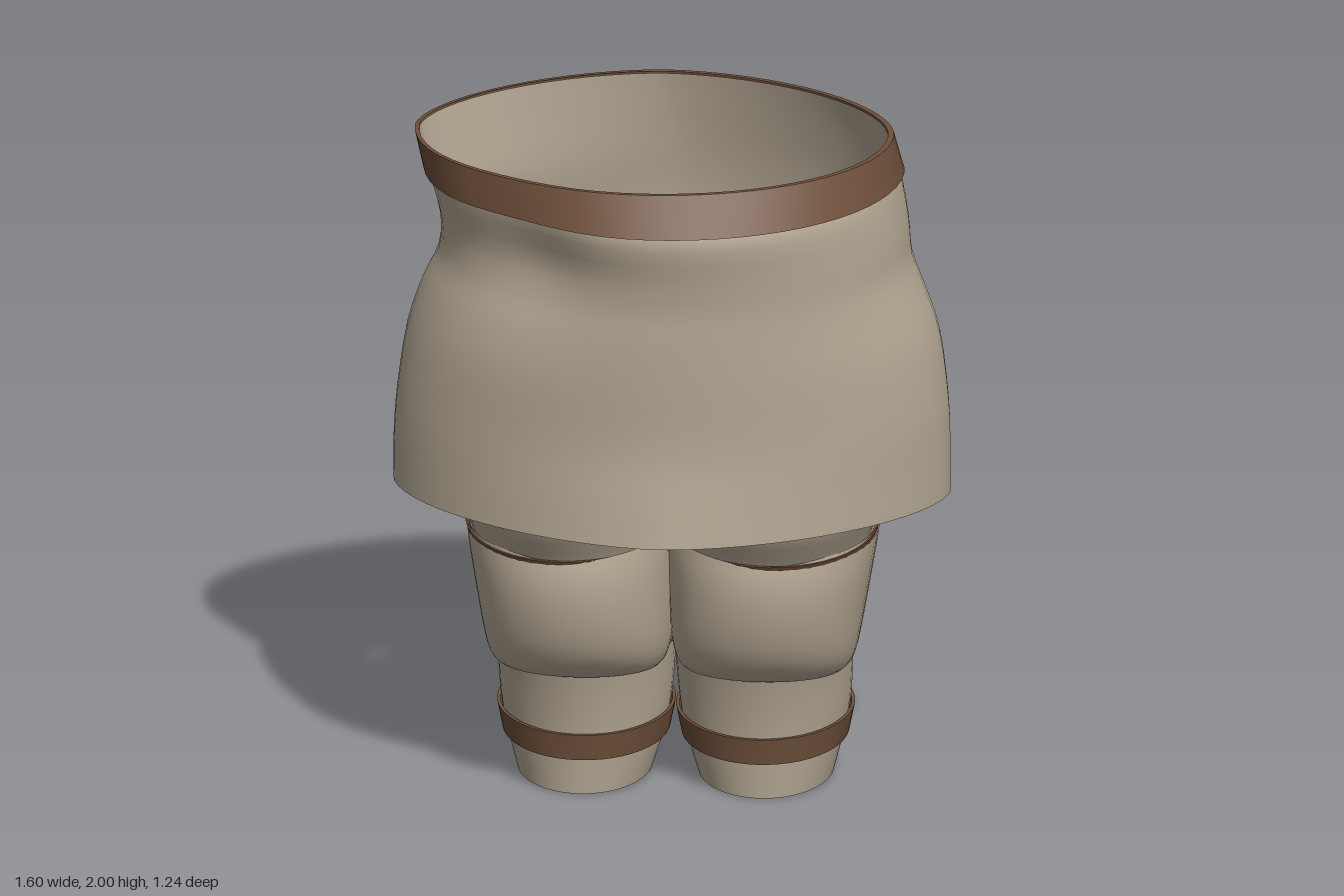
import * as THREE from 'three';
import { mergeGeometries } from 'three/addons/utils/BufferGeometryUtils.js';

const cloth = new THREE.MeshStandardMaterial({ color: 0xb8ab97, side: THREE.DoubleSide });
cloth.name = 'beige cloth';
const leather = new THREE.MeshStandardMaterial({ color: 0x6e4f3a, side: THREE.DoubleSide });
leather.name = 'brown leather';

// Smooth skin over rings; point(row, angle) returns [x, y, z]
function loft(rows, point, seg = 48, arc = Math.PI * 2) {
  const closed = arc > 6;
  const n = closed ? seg : seg + 1;
  const pos = [], idx = [];
  for (const row of rows)
    for (let i = 0; i < n; i++) pos.push(...point(row, (i / seg) * arc));
  for (let r = 0; r < rows.length - 1; r++)
    for (let i = 0; i < seg; i++) {
      const j = (i + 1) % n;
      const a = r * n + i, b = r * n + j, c = a + n, d = b + n;
      idx.push(a, c, b, b, c, d);
    }
  const g = new THREE.BufferGeometry();
  g.setAttribute('position', new THREE.Float32BufferAttribute(pos, 3));
  g.setIndex(idx);
  g.computeVertexNormals();
  return g;
}

// Strap with crisp edges: each face between neighbouring rings is its own skin
function strap(rings, point, seg) {
  return mergeGeometries(rings.slice(1).map((r, i) => loft([rings[i], r], point, seg)));
}

// Catmull-Rom blend of a table whose first column is y
function refine(table, steps) {
  const out = [];
  const at = (i) => table[Math.max(0, Math.min(table.length - 1, i))];
  for (let i = 0; i < table.length - 1; i++)
    for (let k = 0; k < steps; k++) {
      const t = k / steps;
      out.push(at(i).map((p, c) => {
        const a = at(i - 1)[c], q = at(i + 1)[c], d = at(i + 2)[c];
        return 0.5 * (2 * p + (q - a) * t + (2 * a - 5 * p + 4 * q - d) * t * t
          + (3 * p - a - 3 * q + d) * t * t * t);
      }));
    }
  out.push(table[table.length - 1]);
  return out;
}

// Linear lookup of a table row at height y
function sample(table, y) {
  let i = 0;
  while (i < table.length - 2 && table[i + 1][0] < y) i++;
  const t = (y - table[i][0]) / (table[i + 1][0] - table[i][0]);
  return table[i].map((v, c) => v + (table[i + 1][c] - v) * t);
}

// Skirt ring: [y, right x, left x, back z, front z, front corner pinch, dent]
// The back is pinched too, more on the model's right
function skirtPoint([y, x0, x1, zb, zf, e, dent], a) {
  const c = Math.cos(a), s = Math.sin(a);
  const p = s > 0 ? e : c < 0 ? 1.2 : 1.1;
  const pull = 1 - dent * Math.exp(-(((a - 2.2) / 0.36) ** 2));
  const x = (x0 + x1) / 2 + ((x1 - x0) / 2) * Math.sign(c) * Math.abs(c) ** p * pull;
  const z = (s > 0 ? zf : -zb) * Math.sign(s) * Math.abs(s) ** p * pull;
  return [x, y, z];
}

const skirtRows = [
  [0.92, -0.80, 0.80, -0.60, 0.55, 1.22, 0],
  [1.05, -0.80, 0.80, -0.61, 0.54, 1.17, 0],
  [1.2, -0.79, 0.795, -0.62, 0.53, 1.1, 0],
  [1.4, -0.76, 0.77, -0.605, 0.545, 1.07, 0],
  [1.54, -0.715, 0.725, -0.585, 0.555, 1.04, 0.03],
  [1.64, -0.67, 0.69, -0.57, 0.56, 1, 0.07],
  [1.75, -0.665, 0.68, -0.545, 0.58, 1, 0.1],
  [1.89, -0.70, 0.655, -0.51, 0.61, 1, 0.08],
  [1.995, -0.725, 0.62, -0.485, 0.53, 1, 0.03],
];

// Belt rings: inner bottom, outer bottom, outer top, inner top
const beltRings = [
  [1.89, -0.703, 0.658, -0.513, 0.613, 1, 0.075],
  [1.89, -0.713, 0.668, -0.525, 0.62, 1, 0.06],
  [2.0, -0.738, 0.638, -0.502, 0.545, 1, 0.025],
  [2.0, -0.726, 0.621, -0.486, 0.531, 1, 0.03],
];

// Leg ring: [y, centre x, half width, back z, front z, outward slant]; tipped up at the back
const legRows = refine([
  [0, 0.26, 0.195, -0.37, 0.09, 0],
  [0.12, 0.257, 0.228, -0.405, 0.105, 0],
  [0.22, 0.257, 0.246, -0.425, 0.12, 0],
  [0.35, 0.258, 0.255, -0.435, 0.15, 0.02],
  [0.48, 0.26, 0.262, -0.415, 0.19, 0.04],
  [0.62, 0.265, 0.278, -0.395, 0.24, 0.06],
  [0.78, 0.27, 0.305, -0.405, 0.3, 0.08],
  [0.92, 0.27, 0.34, -0.415, 0.385, 0.1],
  [1.02, 0.27, 0.355, -0.42, 0.41, 0.11],
], 3);

function legPoint(side) {
  return ([y, cx, rx, zb, zf, slant], a) => {
    const z = (zf + zb) / 2 + ((zf - zb) / 2) * Math.sin(a);
    return [side * (cx + slant * z) + rx * Math.cos(a), y + 0.065 * (0.09 - z), z];
  };
}

// Knee pad ring: [y, centre x, half width, back z, front z, dip of the edge]
const padRows = [
  [0.368, 0.262, 0.19, -0.02, 0.12, 0],
  [0.385, 0.264, 0.235, -0.025, 0.17, 0],
  [0.42, 0.267, 0.258, -0.03, 0.22, 0],
  [0.48, 0.269, 0.271, -0.035, 0.27, 0],
  [0.57, 0.274, 0.282, -0.05, 0.308, 0],
  [0.67, 0.28, 0.293, -0.065, 0.33, 0],
  [0.75, 0.283, 0.303, -0.075, 0.332, 0.006],
  [0.815, 0.285, 0.309, -0.085, 0.325, 0.022],
];

function padPoint(side) {
  return ([y, cx, rx, zb, zf, dip], a) => {
    const s = Math.max(0, Math.sin(a));
    return [side * cx + rx * Math.cos(a), y - dip * s ** 6, zb + (zf - zb) * s ** 0.75];
  };
}

export function createModel() {
  const model = new THREE.Group();
  const add = (parent, name, geo, mat) => {
    const m = new THREE.Mesh(geo, mat);
    m.name = name;
    parent.add(m);
  };

  add(model, 'skirt', loft(refine(skirtRows, 3), skirtPoint, 64), cloth);
  add(model, 'belt', strap(beltRings, skirtPoint, 64), leather);

  for (const side of [1, -1]) {
    const leg = new THREE.Group();
    leg.name = side > 0 ? 'leftLeg' : 'rightLeg';
    const point = legPoint(side);
    add(leg, 'trouserLeg', loft(legRows, point), cloth);

    // Three straps lying on the outside of the leg
    for (const y of [0.115, 0.425, 0.73]) {
      const ring = (h, off) => {
        const [, cx, rx, zb, zf, slant] = sample(legRows, h);
        return [h, cx, rx + off, zb - off, zf + off, slant];
      };
      const top = y + 0.08;
      const rings = [ring(y, 0.004), ring(y, 0.014), ring(top, 0.014), ring(top, 0.004)];
      add(leg, 'legStrap', strap(rings, point), leather);
    }

    // Bulging pad over the knee with a gently domed top
    const pad = padPoint(side);
    add(leg, 'kneePad', loft(refine(padRows, 2), pad, 32, Math.PI), cloth);
    const lid = [
      [0.805, 0.285, 0.3, -0.085, 0.318, 0.022],
      [0.825, 0.285, 0.2, -0.09, 0.2, 0],
      [0.835, 0.285, 0.001, -0.09, -0.089, 0],
    ];
    add(leg, 'kneePadTop', loft(lid, pad, 32, Math.PI), cloth);
    model.add(leg);
  }
  return model;
}
